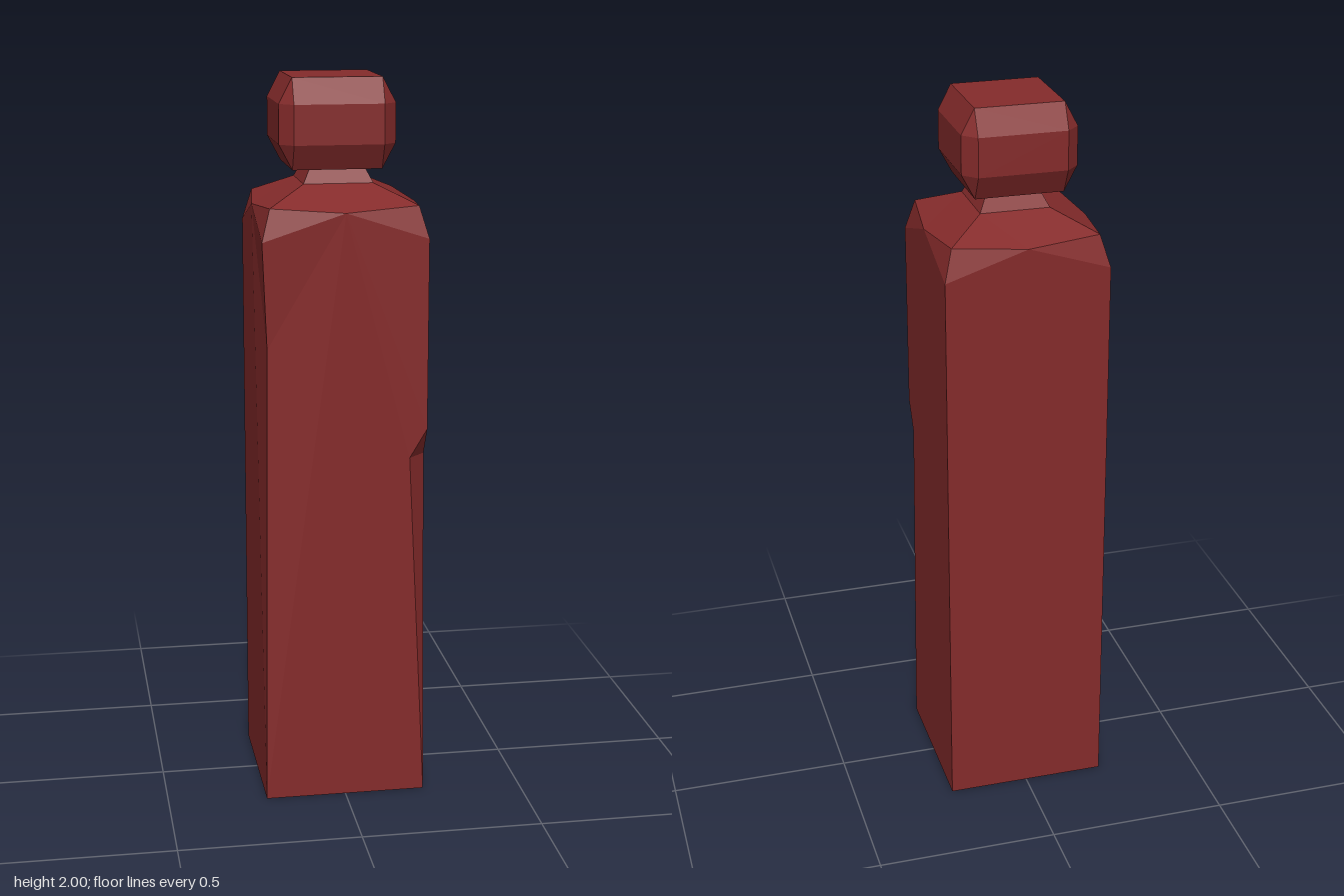
import * as THREE from 'three';
import { ConvexGeometry } from 'three/addons/geometries/ConvexGeometry.js';

const material = new THREE.MeshStandardMaterial({
  color: 0x852b2b, flatShading: true, side: THREE.DoubleSide, roughness: 0.9,
});

// Flat-shaded surface from polygons, each fanned from its first point
function polygonMesh(polygons, name) {
  const points = [];
  for (const p of polygons) {
    for (let i = 1; i < p.length - 1; i++) points.push(...p[0], ...p[i], ...p[i + 1]);
  }
  const geometry = new THREE.BufferGeometry();
  geometry.setAttribute('position', new THREE.Float32BufferAttribute(points, 3));
  geometry.computeVertexNormals();
  const mesh = new THREE.Mesh(geometry, material);
  mesh.name = name;
  return mesh;
}

// Corner directions, anticlockwise from front right-hand side of the model
const corners = [[-1, 1], [1, 1], [1, -1], [-1, -1]];
const at = (k, r, y) => [corners[k % 4][0] * r, y, corners[k % 4][1] * r];

const R = 0.224;        // half width of the square body
const EDGE_TOP = 1.58;  // where the upright edges end
const sideMiddles = [[0, 1.653, R], [R, 1.653, 0], [0, 1.653, -R], [-R, 1.653, 0]];

// Dents along the upright edges, listed from top to bottom
const dent = [-0.211, 1.29, 0.209];
const notchTop = [R, 1.06, R];
const notchFront = [0.176, 0.98, R];
const notchSide = [R, 0.98, 0.176];
const leftDents = [[dent], [notchTop, notchSide], [], []];
const rightDents = [[notchTop, notchFront], [], [], [dent]];

function makeBody() {
  const faces = [];
  for (let k = 0; k < 4; k++) {
    const middle = sideMiddles[k];
    // Wall, open underneath
    faces.push([
      middle, at(k, R, EDGE_TOP), ...leftDents[k], at(k, R, 0),
      at(k + 1, R, 0), ...[...rightDents[k]].reverse(), at(k + 1, R, EDGE_TOP),
    ]);
    // Cut corner below the shoulder
    const tip = at(k + 1, R, EDGE_TOP);
    const shoulder = at(k + 1, 0.2, 1.666);
    faces.push([tip, sideMiddles[(k + 1) % 4], shoulder], [tip, shoulder, middle]);
  }
  // Notch in the front edge
  faces.push([at(1, R, 0), notchSide, notchFront], [notchFront, notchSide, notchTop]);
  return polygonMesh(faces, 'body');
}

function makeShoulders() {
  const faces = [];
  for (let k = 0; k < 4; k++) {
    faces.push([
      sideMiddles[k], at(k + 1, 0.2, 1.666), at(k + 1, 0.095, 1.715),
      at(k, 0.095, 1.715), at(k, 0.2, 1.666),
    ]);
  }
  return polygonMesh(faces, 'shoulders');
}

function makeNeck() {
  const faces = [];
  for (let k = 0; k < 4; k++) {
    faces.push([at(k, 0.095, 1.715), at(k + 1, 0.095, 1.715), at(k + 1, 0.07, 1.765), at(k, 0.07, 1.765)]);
  }
  return polygonMesh(faces, 'neck');
}

// Block with every edge and corner cut off
function makeHead() {
  const inner = 0.1205, outer = 0.1565;
  const points = [];
  for (const [sx, sz] of corners) {
    for (const sy of [-1, 1]) {
      points.push(
        new THREE.Vector3(sx * inner, sy * 0.121, sz * inner),
        new THREE.Vector3(sx * outer, sy * 0.053, sz * inner),
        new THREE.Vector3(sx * inner, sy * 0.053, sz * outer),
      );
    }
  }
  const head = new THREE.Mesh(new ConvexGeometry(points), material);
  head.position.set(-0.01, 1.879, 0.0185);
  head.name = 'head';
  return head;
}

export function createModel() {
  const model = new THREE.Group();
  model.name = 'squarePost';
  model.add(makeBody(), makeShoulders(), makeNeck(), makeHead());
  return model;
}
